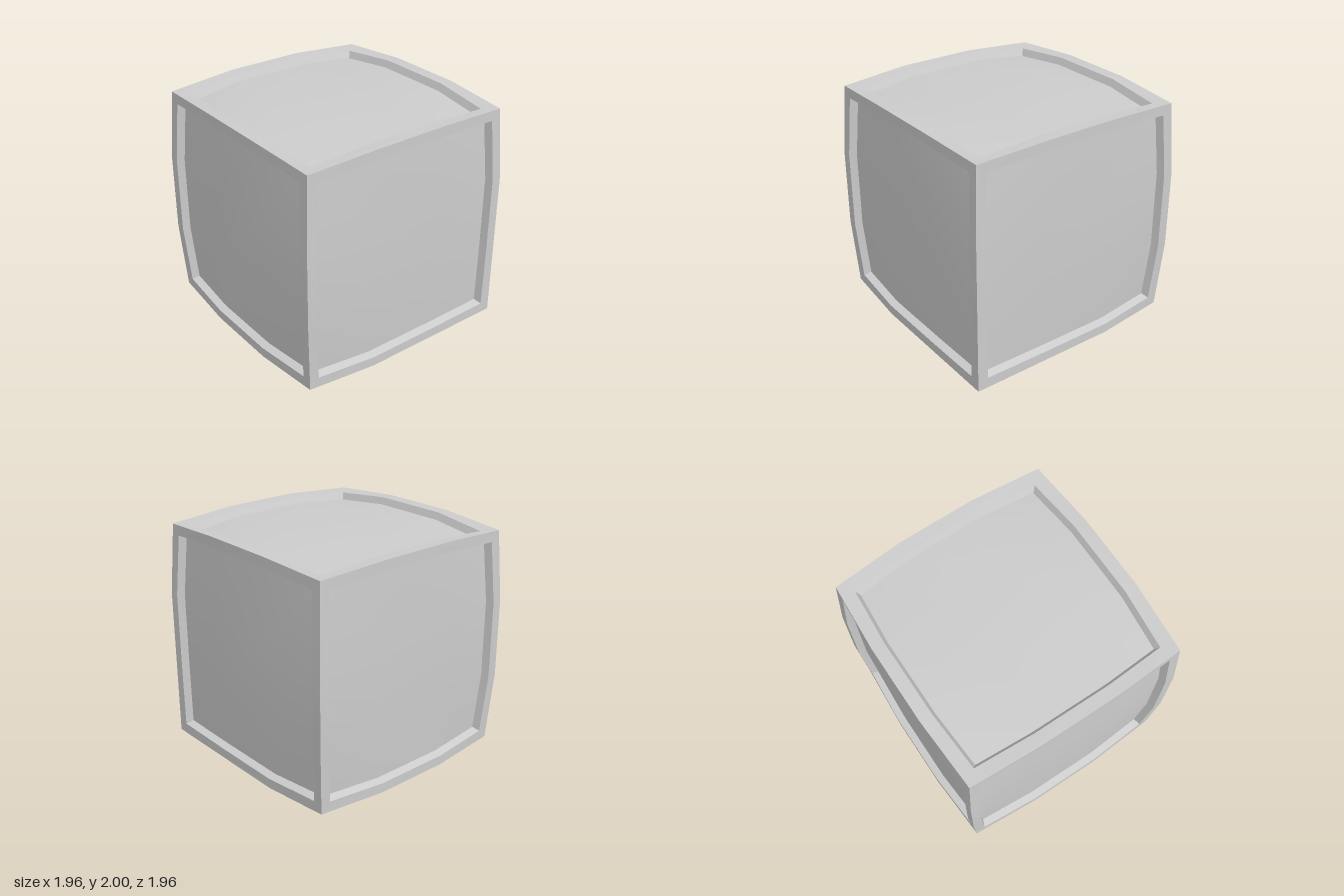
import * as THREE from 'three';
import { toCreasedNormals } from 'three/addons/utils/BufferGeometryUtils.js';

const CENTRE_Y = 1.02;
const T = [-1, -0.335, 0.335, 1]; // three segments along every side

// [offset across the face, height above the centre] for each kind of point.
// One corner of the cube keeps a square, pulled-out shape.
const WALL_FACE = {
  corner: { outer: [0.944, 0.944], rim: [0.861, 0.947], panel: [0.839, 0.885] },
  side: { outer: [0.98, 0.98], rim: [0.896, 0.98], panel: [0.874, 0.917] },
  square: { outer: [0.98, 0.98], rim: [0.888, 0.98], panel: [0.866, 0.917] },
  middle: 0.935,
};
// Top and bottom have a wider border, and a proud lip at the square corner
const CAP_FACE = {
  corner: { outer: [0.944, 0.944], rim: [0.838, 0.933], panel: [0.81, 0.876] },
  side: { outer: [0.98, 0.98], rim: [0.875, 0.978], panel: [0.846, 0.92] },
  square: { outer: [0.98, 0.98], rim: [0.91, 1.015], panel: [0.882, 0.955] },
  middle: 0.94,
};

// Perimeter of the 4 x 4 grid, counter-clockwise
const LOOP = [];
for (let i = 0; i < 3; i++) LOOP.push([i, 0]);
for (let j = 0; j < 3; j++) LOOP.push([3, j]);
for (let i = 3; i > 0; i--) LOOP.push([i, 3]);
for (let j = 3; j > 0; j--) LOOP.push([0, j]);

// Point of one face (axis 0..2, sign +-1) on the given layer
function facePoint(axis, sign, layer, i, j) {
  const place = (a, b, h) => {
    const p = [0, 0, 0];
    p[axis] = sign * h;
    p[(axis + 1) % 3] = a;
    p[(axis + 2) % 3] = sign * b;
    return p;
  };
  const sizes = axis === 1 ? CAP_FACE : WALL_FACE;
  const iEnd = i % 3 === 0, jEnd = j % 3 === 0;
  const a = T[i], b = T[j];
  let p;
  if (iEnd && jEnd) {
    const s = place(a, b, 1);
    const isSquare = s[0] > 0 && s[1] < 0 && s[2] < 0;
    const [w, h] = (isSquare ? sizes.square : sizes.corner)[layer];
    p = place(a * w, b * w, h);
  } else if (iEnd || jEnd) {
    const [w, h] = sizes.side[layer];
    p = place(iEnd ? a * w : a, jEnd ? b * w : b, h);
  } else {
    p = place(a, b, sizes.middle);
  }
  return [p[0], p[1] + CENTRE_Y, p[2]];
}

function quad(out, a, b, c, d) {
  out.push(...a, ...b, ...c, ...a, ...c, ...d);
}

function makeMesh(name, positions, material) {
  const geometry = new THREE.BufferGeometry();
  geometry.setAttribute('position', new THREE.Float32BufferAttribute(positions, 3));
  const mesh = new THREE.Mesh(toCreasedNormals(geometry, 0.7), material);
  mesh.name = name;
  return mesh;
}

export function createModel() {
  const group = new THREE.Group();
  group.name = 'panelledCube';
  const material = new THREE.MeshStandardMaterial({ color: 0xcccccc });
  const frame = [], walls = [], panels = [];

  for (let axis = 0; axis < 3; axis++) {
    for (const sign of [1, -1]) {
      const at = (layer, [i, j]) => facePoint(axis, sign, layer, i, j);

      // Raised border and the sloping wall inside it
      LOOP.forEach((p, k) => {
        const q = LOOP[(k + 1) % LOOP.length];
        quad(frame, at('outer', p), at('outer', q), at('rim', q), at('rim', p));
        quad(walls, at('rim', p), at('rim', q), at('panel', q), at('panel', p));
      });

      // Gently domed recessed panel
      for (let i = 0; i < 3; i++) {
        for (let j = 0; j < 3; j++) {
          quad(panels, at('panel', [i, j]), at('panel', [i + 1, j]),
            at('panel', [i + 1, j + 1]), at('panel', [i, j + 1]));
        }
      }
    }
  }

  group.add(
    makeMesh('edgeFrame', frame, material),
    makeMesh('recessWalls', walls, material),
    makeMesh('facePanels', panels, material)
  );
  return group;
}
